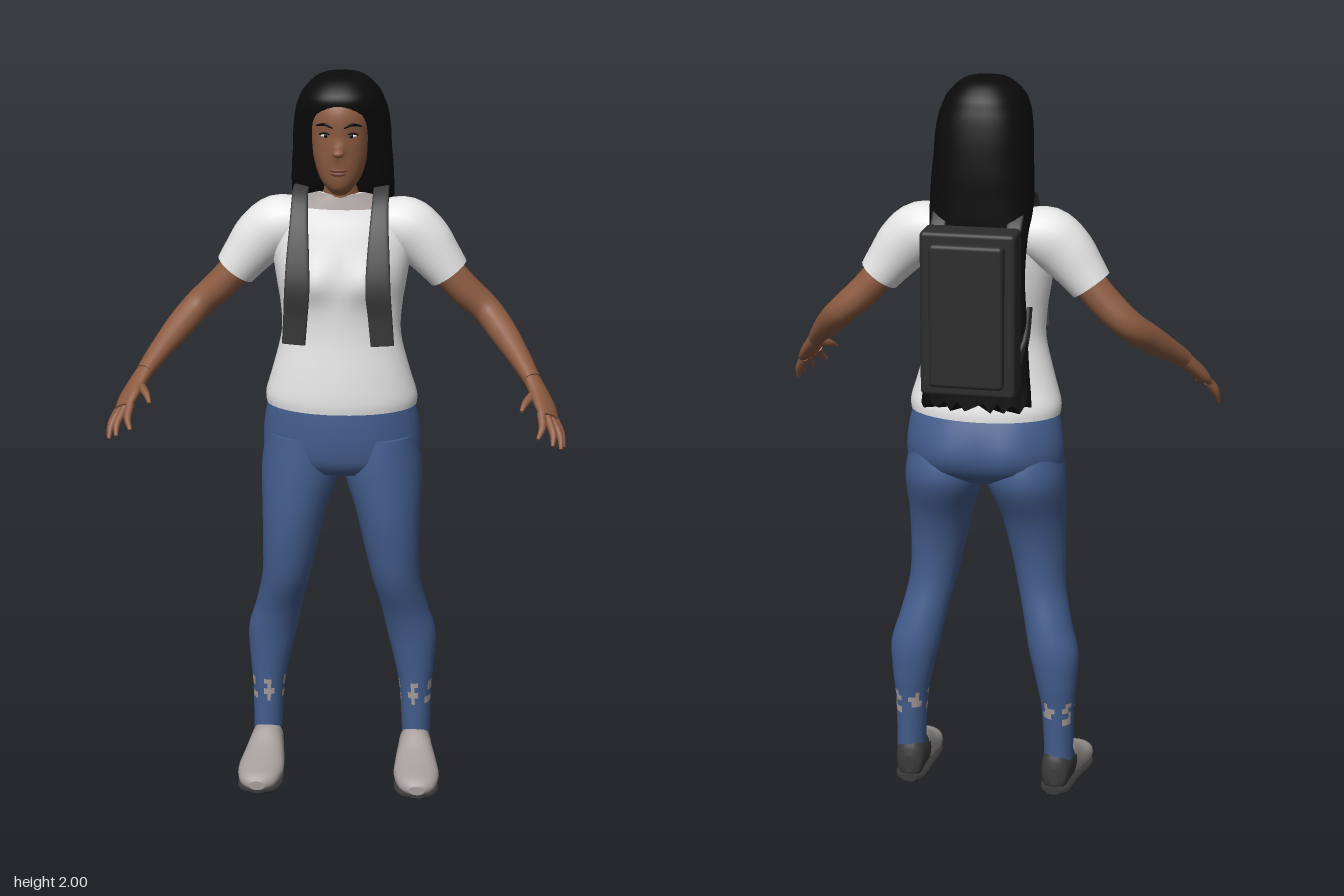
import * as THREE from 'three';
import { RoundedBoxGeometry } from 'three/addons/geometries/RoundedBoxGeometry.js';

const mat = (name, color) => {
  const m = new THREE.MeshStandardMaterial({ color });
  m.name = name;
  return m;
};
const V = (x, y, z) => new THREE.Vector3(x, y, z);
const UP = V(0, 1, 0), FORWARD = V(0, 0, 1), SIDE = V(1, 0, 0);

// Smooth spline through rows of numbers
function smoothRows(rows, sub) {
  const out = [];
  for (let i = 0; i < rows.length - 1; i++) {
    const p0 = rows[Math.max(i - 1, 0)], p1 = rows[i], p2 = rows[i + 1], p3 = rows[Math.min(i + 2, rows.length - 1)];
    for (let s = 0; s < sub; s++) {
      const t = s / sub;
      out.push(p1.map((b, k) => {
        const a = p0[k], c = p2[k], d = p3[k];
        return 0.5 * (2 * b + (c - a) * t + (2 * a - 5 * b + 4 * c - d) * t * t + (3 * b - a - 3 * c + d) * t * t * t);
      }));
    }
  }
  out.push(rows[rows.length - 1]);
  return out;
}

// Skin over elliptical sections [x, y, z, a, b]; rings are square to `axis`, or to the path if none is given.
// `pick` selects a material index for each face, `bend` moves single points.
function loft(name, rows, mats, { axis, seg = 24, sub = 4, pow = 1, ref = SIDE, pick, bend } = {}) {
  const R = smoothRows(rows, sub), n = R.length, pos = [];
  const list = Array.isArray(mats) ? mats : [mats], faces = list.map(() => []);
  const at = i => V(R[i][0], R[i][1], R[i][2]);
  const dir = axis && axis.clone().multiplyScalar(Math.sign(at(n - 1).sub(at(0)).dot(axis)));
  const sp = c => Math.sign(c) * Math.abs(c) ** pow;
  for (let i = 0; i < n; i++) {
    const t = dir || at(Math.min(i + 1, n - 1)).sub(at(Math.max(i - 1, 0))).normalize();
    const u = ref.clone().addScaledVector(t, -ref.dot(t)).normalize();
    const v = t.clone().cross(u);
    for (let j = 0; j < seg; j++) {
      const th = (j / seg) * Math.PI * 2;
      const p = at(i).addScaledVector(u, R[i][3] * sp(Math.cos(th))).addScaledVector(v, R[i][4] * sp(Math.sin(th)));
      if (bend) bend(p);
      pos.push(p.x, p.y, p.z);
    }
  }
  for (let i = 0; i < n - 1; i++) for (let j = 0; j < seg; j++) {
    const a = i * seg + j, b = i * seg + (j + 1) % seg, c = b + seg, d = a + seg;
    const k = pick ? pick(V((pos[a * 3] + pos[c * 3]) / 2, (pos[a * 3 + 1] + pos[c * 3 + 1]) / 2, (pos[a * 3 + 2] + pos[c * 3 + 2]) / 2), i, j) : 0;
    faces[k].push(a, b, c, a, c, d);
  }
  // End caps with their own vertices
  for (const i of [0, n - 1]) {
    const base = pos.length / 3;
    for (let j = 0; j < seg * 3; j++) pos.push(pos[i * seg * 3 + j]);
    pos.push(R[i][0], R[i][1], R[i][2]);
    const k = pick ? pick(at(i), i, 0) : 0;
    for (let j = 0; j < seg; j++) {
      const a = base + j, b = base + (j + 1) % seg;
      faces[k].push(base + seg, i ? a : b, i ? b : a);
    }
  }
  const g = new THREE.BufferGeometry();
  g.setAttribute('position', new THREE.Float32BufferAttribute(pos, 3));
  g.setIndex(faces.flat());
  let start = 0;
  faces.forEach((f, k) => { g.addGroup(start, f.length, k); start += f.length; });
  g.computeVertexNormals();
  const m = new THREE.Mesh(g, list.length > 1 ? list : list[0]);
  m.name = name;
  return m;
}

// Horizontal section: height, left and right edge, front and back edge
const sec = (y, xi, xo, zf, zb) => [(xi + xo) / 2, y, (zf + zb) / 2, (xo - xi) / 2, (zf - zb) / 2];
const mid = ([y, w, zf, zb]) => sec(y, -w, w, zf, zb);
const bump = (d, r) => Math.exp(-(d * d) / (r * r));

export function createModel() {
  const skin = mat('skin', 0x8c5b41), hair = mat('hair black', 0x0b0b0b), shirt = mat('shirt white', 0xececec);
  const denim = mat('denim blue', 0x435d8d), grey = mat('warm grey', 0xa59d9b), dark = mat('charcoal', 0x3b3b3b);
  const pack = mat('pack black', 0x2c2c2c), lip = mat('lip brown', 0x74403a);
  const model = new THREE.Group();
  model.name = 'woman with backpack';
  const ball = (name, m, x, y, z, sx, sy, sz) => {
    const b = new THREE.Mesh(new THREE.SphereGeometry(1, 16, 10), m);
    b.name = name; b.position.set(x, y, z); b.scale.set(sx, sy, sz);
    return b;
  };

  // Head, neck and face
  model.add(loft('head', [[1.69, .02, .055, 0], [1.708, .036, .08, -.02], [1.735, .055, .09, -.05], [1.78, .07, .094, -.08],
    [1.82, .077, .093, -.09], [1.87, .082, .097, -.1], [1.915, .08, .092, -.1], [1.95, .062, .066, -.08], [1.972, .03, .02, -.05]].map(mid), skin,
  { axis: UP, seg: 32, bend: p => { // brow hollow and nose ridge
    if (p.z < .04) return;
    p.z -= .006 * bump(Math.abs(p.x) - .034, .02) * bump(p.y - 1.853, .016);
    p.z += .016 * bump(p.x, .012) * bump(p.y - 1.815, .022);
  } }));
  model.add(loft('neck', [[1.58, .07, .03, -.1], [1.65, .056, .03, -.085], [1.7, .05, .032, -.075], [1.75, .05, .04, -.07]].map(mid), skin, { axis: UP }));
  model.add(ball('noseTip', skin, 0, 1.811, .102, .016, .011, .015));
  model.add(ball('upperLip', lip, 0, 1.764, .09, .023, .005, .007), ball('lowerLip', lip, 0, 1.754, .089, .02, .006, .007));

  // Long hair falling down the back, ragged at the ends
  model.add(loft('hair', [[1.999, .02, -.01, -.05], [1.988, .062, .04, -.095], [1.955, .098, .079, -.13], [1.925, .113, .084, -.143],
    [1.895, .122, .071, -.152], [1.85, .128, .055, -.16], [1.8, .13, .042, -.165], [1.75, .134, .026, -.168], [1.7, .136, .008, -.168],
    [1.65, .135, -.03, -.168], [1.6, .13, -.09, -.166], [1.5, .125, -.112, -.166], [1.4, .13, -.115, -.172], [1.25, .14, -.118, -.186],
    [1.15, .148, -.125, -.193]].map(mid), hair,
  { axis: UP, seg: 48, pow: .88, bend: p => { if (p.y < 1.2) p.y += .014 * Math.sin(p.x * 170); } }));

  // T-shirt body with a grey neckband
  model.add(loft('shirtBody', [[1.098, .203, .094, -.16], [1.13, .204, .097, -.157], [1.2, .184, .093, -.135], [1.3, .16, .084, -.117],
    [1.38, .163, .085, -.122], [1.45, .174, .088, -.13], [1.52, .184, .082, -.135], [1.58, .185, .066, -.135], [1.63, .163, .046, -.13],
    [1.66, .12, .036, -.115], [1.685, .066, .028, -.09]].map(mid), [shirt, grey],
  { axis: UP, seg: 40, pick: p => (p.y > 1.648 && Math.abs(p.x) < .1 && p.z > -.03 ? 1 : 0),
    bend: p => { if (p.z > .02) p.z += .024 * bump(Math.abs(p.x) - .075, .055) * bump(p.y - 1.46, .055); } }));

  // Hips
  model.add(loft('jeansHips', [[1.115, .196, .088, -.15], [1.06, .208, .093, -.17], [1, .214, .093, -.178], [.95, .208, .085, -.16], [.915, .17, .06, -.12]].map(mid),
    denim, { axis: UP, seg: 40, bend: p => { if (p.z < -.05) p.z -= .014 * bump(Math.abs(p.x) - .09, .06) * bump(p.y - .99, .08); } }));

  // Parts that come in pairs, made on the +x side
  const buildSide = name => {
    const g = new THREE.Group();
    g.name = name;
    g.add(loft('jeansLeg', [[1.02, .02, .2, .08, -.14], [.92, .004, .219, .089, -.165], [.8, .04, .216, .093, -.112], [.7, .064, .215, .085, -.087],
      [.6, .086, .218, .068, -.086], [.5, .11, .24, .03, -.108], [.42, .126, .262, .012, -.12], [.33, .147, .259, .004, -.115],
      [.25, .162, .252, 0, -.105], [.14, .169, .25, 0, -.1], [.1, .17, .25, 0, -.1]].map(r => sec(...r)), [denim, grey],
    { axis: UP, seg: 28, sub: 6, pick: (p, i, j) => (p.y > .205 && p.y < .275 && Math.sin(j * 1.1) + .7 * Math.sin(i * 2.3 + j * .6) > .45 ? 1 : 0) }));

    // Shoe with dark heel and sole
    g.add(loft('shoe', [[.205, .062, -.109, .014, .025], [.206, .07, -.095, .036, .055], [.208, .076, -.05, .044, .062], [.21, .075, 0, .048, .063],
      [.214, .059, .05, .058, .046], [.218, .046, .1, .063, .035], [.221, .038, .15, .05, .026], [.222, .033, .173, .022, .013]], [grey, dark],
    { axis: FORWARD, pow: .9, pick: p => (p.z < -.012 - (p.y - .07) * .25 ? 1 : 0) }));
    g.add(loft('sole', [[.205, .02, -.107, .02, .012], [.207, .016, -.08, .042, .015], [.21, .013, 0, .049, .013], [.218, .012, .1, .063, .012],
      [.221, .013, .15, .05, .012], [.222, .018, .172, .02, .008]], dark, { axis: FORWARD, pow: .7 }));

    // Sleeve and arm
    g.add(loft('sleeve', [[.1, 1.595, -.05, .06, .075], [.165, 1.585, -.048, .079, .078], [.215, 1.548, -.047, .076, .07], [.255, 1.5, -.047, .065, .063],
      [.285, 1.46, -.048, .057, .059]], shirt, { ref: V(1, 1, 0) }));
    g.add(loft('arm', [[.25, 1.5, -.048, .044, .046], [.32, 1.42, -.053, .043, .046], [.385, 1.36, -.052, .039, .043], [.432, 1.312, 0, .037, .038],
      [.478, 1.262, .07, .029, .033], [.512, 1.222, .13, .022, .027]], skin, { ref: V(1, 1, 0), seg: 20 }));

    // Hand with fanned fingers
    const spread = V(-.64, .43, .64);
    g.add(loft('palm', [[.505, 1.23, .118, .026, .021], [.53, 1.195, .155, .034, .02], [.547, 1.168, .19, .041, .018], [.557, 1.148, .218, .036, .013]],
      skin, { ref: spread, seg: 16 }));
    const fingers = [
      ['indexFinger', [.537, 1.162, .228], [.54, 1.135, .262], [.529, 1.112, .29]],
      ['middleFinger', [.55, 1.152, .218], [.568, 1.12, .257], [.568, 1.092, .284]],
      ['ringFinger', [.56, 1.145, .208], [.585, 1.11, .24], [.59, 1.078, .265]],
      ['littleFinger', [.569, 1.14, .197], [.59, 1.105, .215], [.597, 1.073, .232]],
      ['thumb', [.522, 1.198, .165], [.498, 1.186, .205], [.485, 1.168, .235]]];
    for (const [label, a, b, c] of fingers) {
      g.add(loft(label, [[...a, .013, .012], [...b, .01, .01], [...c, .005, .005]], skin, { ref: spread, seg: 10 }));
    }

    // Shoulder strap and lower strap
    g.add(loft('shoulderStrap', [[.1, 1.57, -.2, .02, .006], [.1, 1.65, -.14, .02, .006], [.104, 1.69, -.05, .021, .006], [.106, 1.682, .015, .021, .006],
      [.105, 1.62, .07, .024, .006], [.105, 1.53, .112, .03, .006], [.106, 1.45, .132, .033, .006], [.111, 1.38, .118, .032, .006], [.117, 1.3, .108, .031, .006]],
    dark, { pow: .5, seg: 20 }));
    g.add(loft('lowerStrap', [[.11, 1.27, -.2, .006, .02], [.128, 1.32, -.145, .006, .025], [.133, 1.41, -.115, .006, .02]], dark, { pow: .5, seg: 16 }));

    // Eye and eyebrow
    g.add(ball('eyeWhite', shirt, .033, 1.853, .077, .014, .0055, .008), ball('iris', hair, .033, 1.853, .0815, .0055, .0055, .005));
    g.add(loft('upperLid', [[.017, 1.855, .087, .002, .002], [.033, 1.861, .084, .003, .003], [.05, 1.855, .075, .002, .002]], hair, { ref: UP, seg: 8 }));
    g.add(loft('eyebrow', [[.014, 1.876, .094, .003, .002], [.036, 1.884, .088, .004, .002], [.058, 1.877, .07, .002, .002]], hair, { ref: UP, seg: 8 }));
    return g;
  };
  const left = buildSide('leftSide'), right = buildSide('rightSide');
  right.scale.x = -1;
  model.add(left, right);

  // Backpack
  const box = (name, w, h, d, y, z, r) => {
    const b = new THREE.Mesh(new RoundedBoxGeometry(w, h, d, 4, r), pack);
    b.name = name; b.position.set(0, y, z);
    model.add(b);
  };
  box('backpackBody', .25, .435, .09, 1.42, -.23, .012);
  box('backpackPocket', .195, .38, .1, 1.42, -.247, .012);
  return model;
}
